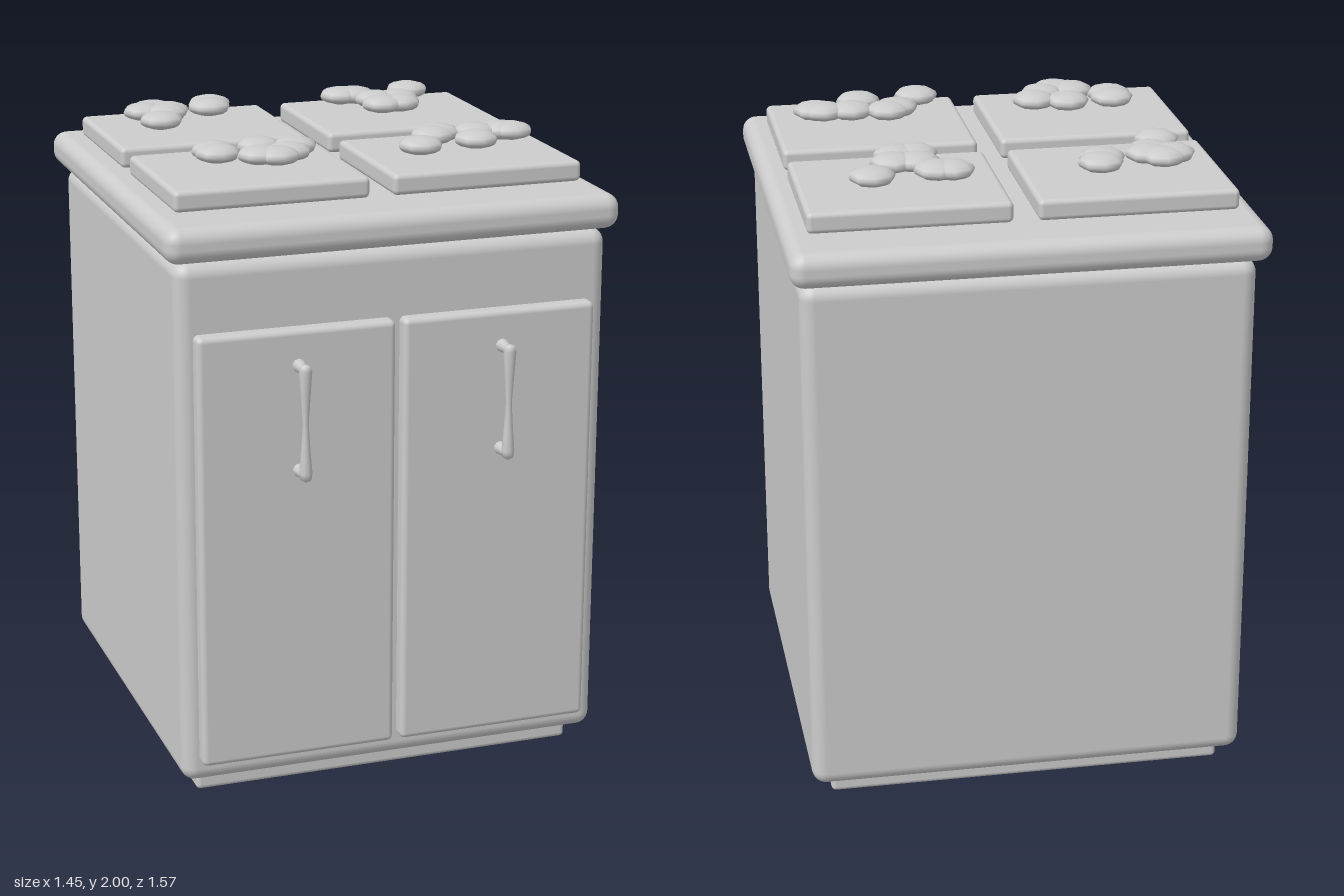
import * as THREE from 'three';
import { RoundedBoxGeometry } from 'three/addons/geometries/RoundedBoxGeometry.js';

export function createModel() {
  const group = new THREE.Group();
  const grey = new THREE.MeshStandardMaterial({ color: 0xcccccc });
  grey.name = 'light grey';

  function add(name, geometry, parent = group) {
    const mesh = new THREE.Mesh(geometry, grey);
    mesh.name = name;
    parent.add(mesh);
    return mesh;
  }

  // Rounded slab given by its extents on each axis
  function slab(name, [x0, x1], [y0, y1], [z0, z1], radius) {
    const geometry = new RoundedBoxGeometry(x1 - x0, y1 - y0, z1 - z0, 4, radius);
    add(name, geometry).position.set((x0 + x1) / 2, (y0 + y1) / 2, (z0 + z1) / 2);
  }

  // Cabinet
  slab('plinth', [-0.63, 0.625], [0, 0.1], [-0.665, 0.575], 0.015);
  slab('cabinetBody', [-0.69, 0.69], [0.06, 1.73], [-0.735, 0.645], 0.045);
  slab('countertop', [-0.725, 0.72], [1.735, 1.845], [-0.785, 0.685], 0.045);

  // Doors
  slab('rightDoor', [-0.64, -0.015], [0.13, 1.515], [0.6, 0.69], 0.018);
  slab('leftDoor', [0.01, 0.635], [0.13, 1.515], [0.6, 0.69], 0.018);

  // Hourglass handle grips on two flared posts
  const gripProfile = [
    [0, -0.185], [0.017, -0.175], [0.02, -0.155], [0.014, -0.08],
    [0.009, 0], [0.015, 0.09], [0.02, 0.165], [0.015, 0.182], [0, 0.185],
  ].map(([r, y]) => new THREE.Vector2(r, y));
  for (const [name, x] of [['rightHandle', -0.33], ['leftHandle', 0.322]]) {
    const handle = new THREE.Group();
    handle.name = name;
    handle.position.set(x, 1.245, 0);
    group.add(handle);
    add('grip', new THREE.LatheGeometry(gripProfile, 10), handle).position.z = 0.768;
    for (const y of [-0.165, 0.165]) {
      const post = add('post', new THREE.CylinderGeometry(0.013, 0.021, 0.063, 10), handle);
      post.rotation.x = Math.PI / 2;
      post.position.set(0, y, 0.737);
    }
  }

  // Four top plates
  for (const x of [[-0.655, -0.04], [0.035, 0.652]])
    for (const z of [[-0.625, -0.1], [-0.005, 0.52]])
      slab('topPlate', x, [1.855, 1.92], z, 0.016);

  // Flattened blobs clustered over each plate, as x, z centres
  const clusters = {
    backRightBlobs: [[-0.465, -0.42], [-0.5, -0.39], [-0.425, -0.38], [-0.44, -0.35], [-0.485, -0.24], [-0.265, -0.445], [-0.28, -0.395]],
    backLeftBlobs: [[0.19, -0.435], [0.235, -0.43], [0.435, -0.46], [0.28, -0.34], [0.355, -0.335], [0.275, -0.255], [0.335, -0.26]],
    frontRightBlobs: [[-0.45, 0.28], [-0.45, 0.235], [-0.3, 0.22], [-0.195, 0.25], [-0.335, 0.34], [-0.235, 0.32], [-0.285, 0.365]],
    frontLeftBlobs: [[0.175, 0.37], [0.29, 0.215], [0.26, 0.245], [0.405, 0.235], [0.37, 0.34], [0.495, 0.24], [0.52, 0.255]],
  };
  const blob = new THREE.SphereGeometry(0.071, 8, 8).scale(1, 0.4, 1);
  for (const [name, centres] of Object.entries(clusters)) {
    const cluster = new THREE.Group();
    cluster.name = name;
    group.add(cluster);
    for (const [x, z] of centres) add('blob', blob, cluster).position.set(x, 1.972, z);
  }

  return group;
}
